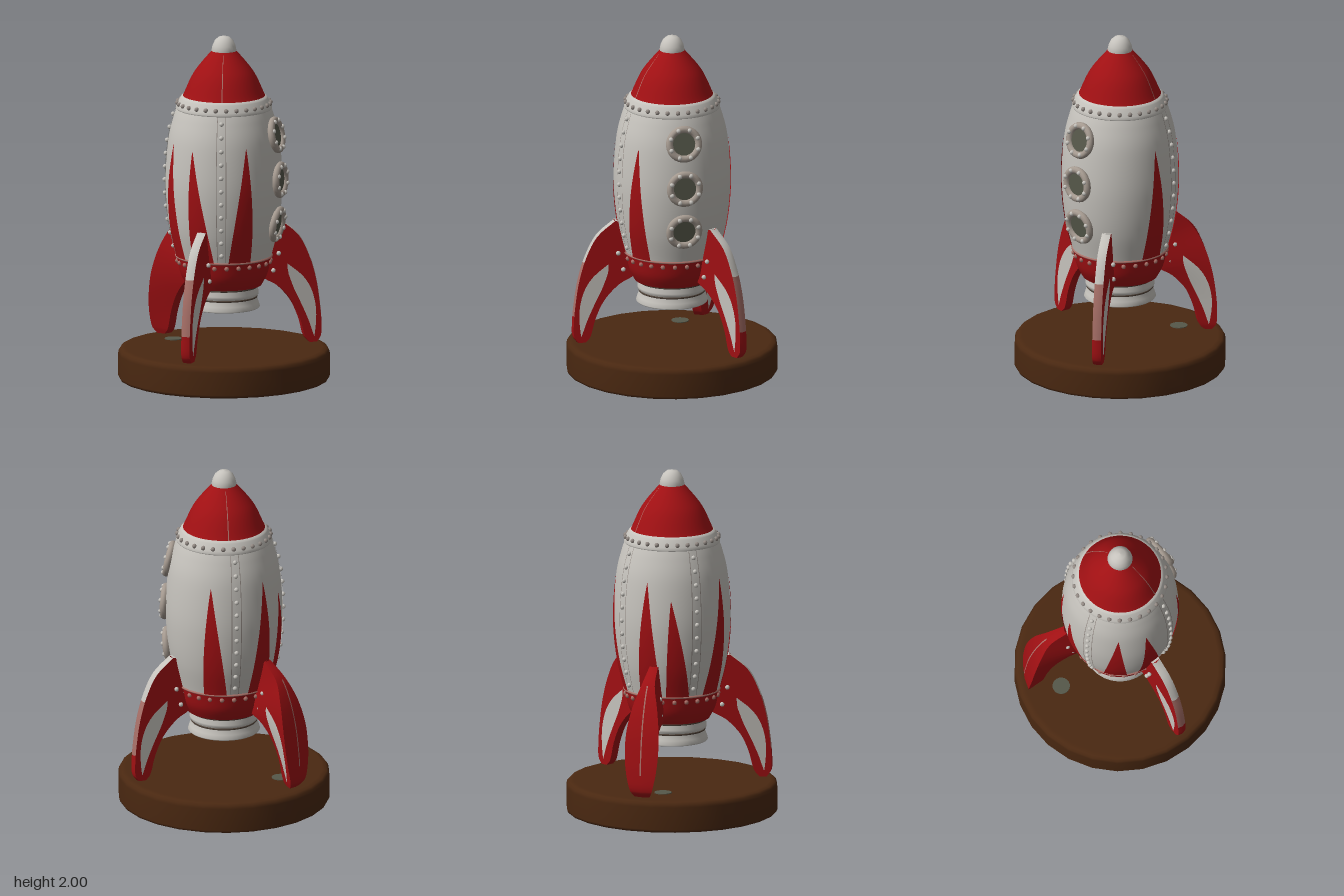
import * as THREE from 'three';

const paint = (name, color, side = THREE.FrontSide) => {
  const m = new THREE.MeshStandardMaterial({ color, side });
  m.name = name;
  return m;
};
const white = paint('hull white', 0xc6c3bd, THREE.DoubleSide);
const red = paint('paint red', 0xa01013, THREE.DoubleSide);
const brown = paint('base brown', 0x4a2811);
const worn = paint('worn pink', 0xa87068, THREE.DoubleSide);
const rim = paint('rim beige', 0xa59a90);
const rivetGrey = paint('rivet grey', 0x938a84);
const glass = paint('porthole glass', 0x56584a);
const dark = paint('groove brown', 0x4f4238);
const V = (x, y, z) => new THREE.Vector3(x, y, z);
const rad = THREE.MathUtils.degToRad;

// Surface through rows of points; it faces (column direction) x (row direction)
function grid(rows) {
  const n = rows[0].length, index = [];
  for (let i = 0; i < rows.length - 1; i++)
    for (let j = 0; j < n - 1; j++) {
      const a = i * n + j;
      index.push(a, a + 1, a + n, a + 1, a + n + 1, a + n);
    }
  const g = new THREE.BufferGeometry().setFromPoints(rows.flat());
  g.setIndex(index);
  g.computeVertexNormals();
  return g;
}

// Hull outline, smoothed, with a radius lookup
const hull = new THREE.SplineCurve([[0.215, 0.55], [0.25, 0.62], [0.272, 0.72], [0.31, 0.88], [0.33, 1.04],
  [0.334, 1.2], [0.318, 1.4], [0.288, 1.53], [0.255, 1.62], [0.232, 1.66], [0.17, 1.79], [0.065, 1.92]]
  .map(p => new THREE.Vector2(...p))).getPoints(120);
function radiusAt(y) {
  const i = Math.max(1, hull.findIndex(p => p.y >= y));
  const a = hull[i - 1], b = hull[i];
  return a.x + (b.x - a.x) * (y - a.y) / (b.y - a.y);
}
// Point on the hull: angle in degrees from the front towards +x
const onHull = (deg, y, lift = 0) => {
  const r = radiusAt(y) + lift;
  return V(r * Math.sin(rad(deg)), y, r * Math.cos(rad(deg)));
};

// Thin painted or raised patch following the hull
function patch(deg, y0, y1, halfWidth, lift) {
  const rows = [];
  for (let i = 0; i <= 24; i++) {
    const t = i / 24, w = halfWidth(t), y = y0 + (y1 - y0) * t;
    rows.push([-1, -0.5, 0, 0.5, 1].map(k => onHull(deg + k * w, y, lift)));
  }
  return grid(rows);
}

export function createModel() {
  const model = new THREE.Group();
  const add = (name, geo, mat, parent = model) => {
    const m = new THREE.Mesh(geo, mat);
    m.name = name;
    parent.add(m);
    return m;
  };
  const lathe = (pts, seg = 48) => new THREE.LatheGeometry(pts.map(p => p.isVector2 ? p : new THREE.Vector2(...p)), seg);
  const cut = (y0, y1) => [[radiusAt(y0), y0], ...hull.filter(p => p.y > y0 + 1e-3 && p.y < y1 - 1e-3), [radiusAt(y1), y1]];
  const rivetGeo = new THREE.SphereGeometry(0.0135, 8, 6);
  const rivet = (p, mat, parent = model) => add('rivet', rivetGeo, mat, parent).position.copy(p);

  // Round base with softened edges
  add('base', lathe([[0, 0], [0.585, 0], [0.6, 0.006], [0.606, 0.02], [0.606, 0.15], [0.602, 0.168],
    [0.59, 0.18], [0.565, 0.185], [0, 0.185]], 26), brown);
  const spot = add('baseSpot', new THREE.CylinderGeometry(0.05, 0.05, 0.004, 20), glass);
  spot.position.set(-0.36, 0.187, 0.07);

  // Hull sections
  add('tailBand', lathe([[0, 0.55], ...cut(0.551, 0.72)]), red);
  add('body', lathe(cut(0.72, 1.652)), white);
  add('noseCone', lathe(cut(1.652, 1.915)), red);
  add('noseTip', lathe([[0.066, 1.905], [0.072, 1.915], [0.066, 1.945], [0.052, 1.975], [0.03, 1.994], [0, 2]], 32), white);
  add('shoulderBand', lathe([1.578, 1.585, 1.6, 1.62, 1.64, 1.648, 1.654].map((y, i) =>
    [radiusAt(y) + (i % 6 ? 0.007 : 0), y])), white);
  add('tailSeam', lathe([[0.27, 0.712], [0.279, 0.716], [0.28, 0.722], [0.272, 0.727]]), worn);

  // Engine nozzle with grooves
  add('nozzle', lathe([[0, 0.418], [0.2, 0.418], [0.206, 0.425], [0.198, 0.45], [0.189, 0.475], [0.189, 0.49],
    [0.197, 0.495], [0.199, 0.51], [0.192, 0.535], [0.192, 0.555]]), white);
  for (const [y, r] of [[0.483, 0.187], [0.543, 0.191]]) {
    const ring = add('nozzleGroove', new THREE.TorusGeometry(r, 0.006, 6, 40), dark);
    ring.rotation.x = Math.PI / 2;
    ring.position.y = y;
  }

  // Rivets around the shoulder and the tail
  for (let i = 0; i < 28; i++) rivet(onHull(i * 360 / 28, 1.612, 0.008), rivetGrey);
  for (let i = 0; i < 24; i++) rivet(onHull(i * 15 + 7, 0.69, 0.001), worn);

  // Riveted upright seams
  for (const deg of [46, -46, 232]) {
    add('seamStrip', patch(deg, 0.73, 1.578, () => 4.5, 0.004), white);
    for (const s of [-4.7, 4.7]) add('seamEdge', patch(deg + s, 0.73, 1.578, () => 0.35, 0.0045), rivetGrey);
    for (let i = 0; i < 11; i++) rivet(onHull(deg, 0.77 + i * 0.077, 0.006), white);
  }
  for (const deg of [46, 226]) add('noseSeam', patch(deg, 1.655, 1.9, () => 0.8, 0.002), worn);

  // Pointed red flames painted on the hull
  for (const [base, lean, top] of [[-64, -8, 1.3], [-18, 4, 1.4], [23, -8, 1.38], [68, 4, 1.4], [209, -3, 1.39], [263, 0, 1.4]]) {
    const g = patch(base, 0.715, top, t => 14 * Math.pow(1 - t, 0.88), 0.004);
    const p = g.attributes.position;
    for (let i = 0; i < p.count; i++) {
      const v = V(0, 0, 0).fromBufferAttribute(p, i);
      v.applyAxisAngle(V(0, 1, 0), rad(lean) * (v.y - 0.715) / (top - 0.715));
      p.setXYZ(i, v.x, v.y, v.z);
    }
    g.computeVertexNormals();
    add('flameStripe', g, red);
  }

  // Portholes, each tilted to the hull
  for (const y of [1.44, 1.18, 0.92]) {
    const hole = new THREE.Group();
    hole.name = 'porthole';
    const slope = (radiusAt(y + 0.05) - radiusAt(y - 0.05)) / 0.1;
    hole.rotation.set(Math.atan(slope), rad(121), 0, 'YXZ');
    hole.position.copy(onHull(121, y, 0));
    model.add(hole);
    const ring = add('portholeRim', new THREE.TorusGeometry(0.085, 0.021, 10, 32), rim, hole);
    ring.position.z = 0.004;
    const pane = add('portholeGlass', new THREE.CylinderGeometry(0.072, 0.072, 0.008, 28), glass, hole);
    pane.rotation.x = Math.PI / 2;
    pane.position.z = 0.003;
    for (let i = 0; i < 8; i++) {
      const a = (i + 0.5) * Math.PI / 4;
      rivet(V(0.085 * Math.cos(a), 0.085 * Math.sin(a), 0.021), white, hole);
    }
  }

  // Curved landing fins, swept from the top to the foot
  const spline = pts => new THREE.CatmullRomCurve3(pts.map(p => V(p[0], p[1], 0)));
  const inner = spline([[0.25, 0.9], [0.2, 0.75], [0.2, 0.6], [0.3, 0.53], [0.38, 0.44], [0.43, 0.33], [0.46, 0.22], [0.485, 0.19]]);
  const outer = spline([[0.32, 0.91], [0.42, 0.82], [0.48, 0.7], [0.52, 0.56], [0.54, 0.43], [0.55, 0.32], [0.548, 0.225], [0.525, 0.19]]);
  const flare = spline([0.025, 0.04, 0.075, 0.098, 0.1, 0.088, 0.065, 0.045].map((h, i) => [h, i]));
  function fin(name, angle, wide, sides) {
    const f = new THREE.Group();
    f.name = name;
    f.rotation.y = angle;
    model.add(f);
    const N = 28, stretch = wide ? 1 : 1.035;
    // k = 0 inner edge, 1 outer edge; s = side; lift pushes paint off the face
    const at = (t, k, s, lift = 0) => {
      const p = inner.getPoint(t).lerp(outer.getPoint(t), k);
      const hOut = wide ? flare.getPoint(t).x : 0.026;
      const h = 0.026 + (hOut - 0.026) * k;
      return V(p.x * stretch, p.y, s * (h + lift));
    };
    const rows = (fn, a = 0, b = N) => Array.from({ length: b - a + 1 }, (_, i) => fn((a + i) / N));
    const ridge = t => at(t, 1, 0).add(V(0.008, 0, 0));
    const edge = t => [at(t, 1, -1), ridge(t), at(t, 1, 1)];
    add('finSide', grid(rows(t => [at(t, 1, 1), at(t, 0, 1)])), red, f);
    add('finSide', grid(rows(t => [at(t, 0, -1), at(t, 1, -1)])), red, f);
    add('finInnerEdge', grid(rows(t => [at(t, 0, 1), at(t, 0, -1)])), red, f);
    add('finFoot', grid([[at(1, 1, -1), at(1, 1, 1)], [at(1, 0, -1), at(1, 0, 1)]]), red, f);
    add('finTop', grid([[at(0, 0, -1), at(0, 0, 1)], [at(0, 1, -1), at(0, 1, 1)]]), wide ? red : white, f);
    if (wide) {
      add('finOuterEdge', grid(rows(edge)), red, f);
      add('finRidgeLine', grid(rows(t => [-1, 1].map(s => ridge(t).add(V(0.003, 0.002, s * 0.004))), 4, 20)), worn, f);
    } else {
      add('finOuterEdgeUpper', grid(rows(edge, 0, 9)), white, f);
      add('finOuterEdgeMiddle', grid(rows(edge, 9, 19)), worn, f);
      add('finOuterEdgeLower', grid(rows(edge, 19, N)), red, f);
    }
    // White slash on the fin face
    for (const s of sides) {
      add('finSlash', grid(rows(t => {
        const w = 0.27 * Math.sin(Math.PI * (t * N - 8) / 16);
        return [0.56 + s * w, 0.56 - s * w].map(k => at(t, k, s, 0.004));
      }, 8, 24)), white, f);
    }
    for (const s of [-1, 1]) {
      rivet(V(0.315, 0.72, s * 0.036), white, f);
      rivet(V(0.285, 0.62, s * 0.03), white, f);
    }
  }
  fin('sideFin', Math.PI, true, [1]);
  fin('frontFin', rad(-64), false, [-1, 1]);
  fin('backFin', rad(64), false, [-1, 1]);

  return model;
}
